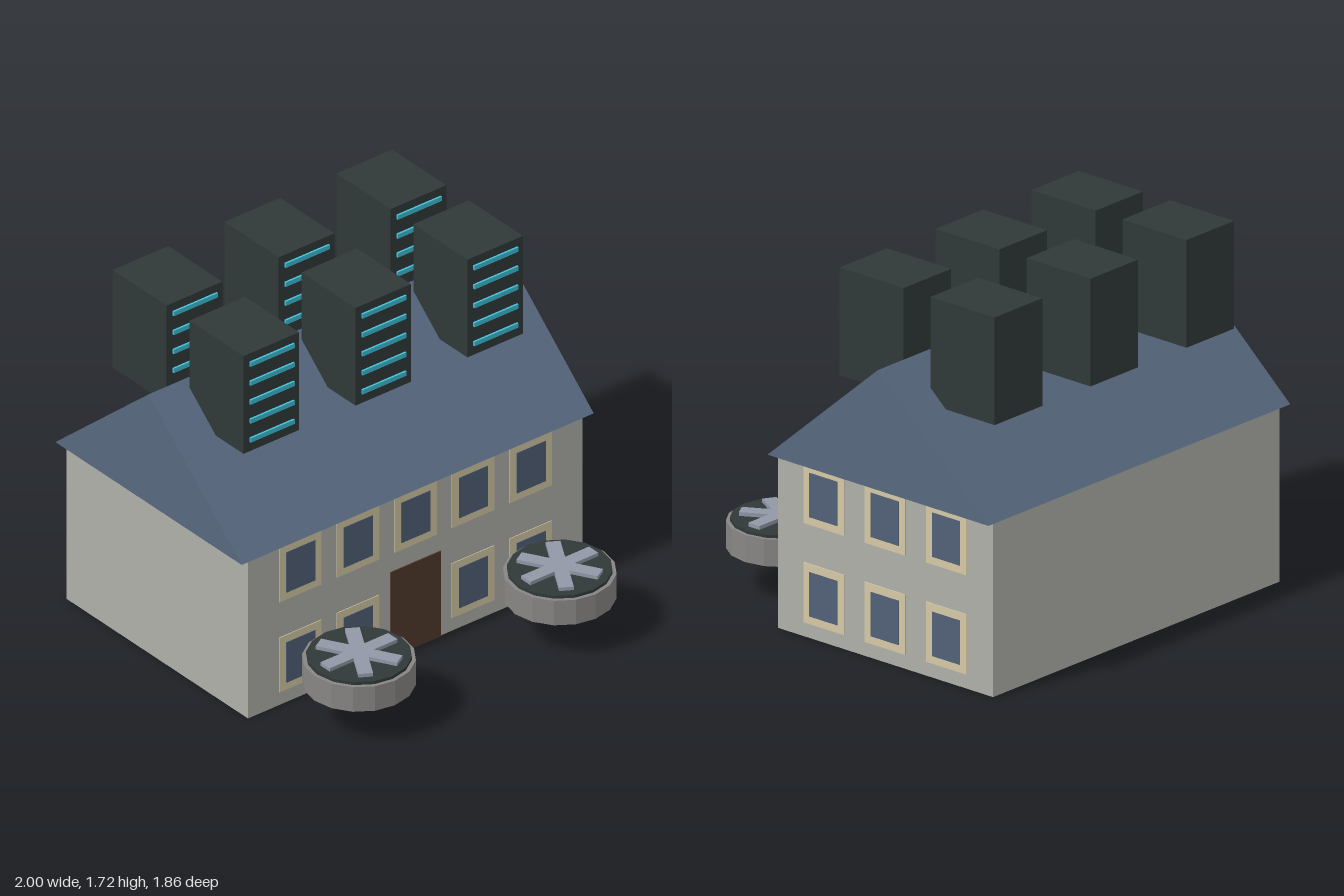
import * as THREE from 'three';

const mat = (name, color) => {
  const m = new THREE.MeshStandardMaterial({ color, flatShading: true });
  m.name = name;
  return m;
};

export function createModel() {
  const wall = mat('wall grey', 0xb0b0aa);
  const slate = mat('slate blue', 0x586880);
  const cream = mat('frame cream', 0xd6caa6);
  const glass = mat('window blue', 0x526078);
  const wood = mat('door brown', 0x523a2c);
  const dark = mat('cabinet dark', 0x303838);
  const cyan = mat('light cyan', 0x40c0d8);
  const metal = mat('fan housing grey', 0x888684);
  const blade = mat('fan blade grey', 0x9298a8);

  const model = new THREE.Group();
  const add = (parent, name, geometry, material, x, y, z) => {
    const mesh = new THREE.Mesh(geometry, material);
    mesh.name = name;
    mesh.position.set(x, y, z);
    parent.add(mesh);
    return mesh;
  };
  const box = (w, h, d) => new THREE.BoxGeometry(w, h, d);

  // House body
  const midZ = -0.273, frontZ = 0.364, sideX = 0.95;
  add(model, 'walls', box(1.9, 0.83, 1.275), wall, 0, 0.415, midZ);

  // Gable roof, extruded along x
  const gable = new THREE.Shape([
    new THREE.Vector2(-0.655, 0.83), new THREE.Vector2(0.655, 0.83), new THREE.Vector2(0, 1.4),
  ]);
  const roofGeo = new THREE.ExtrudeGeometry(gable, { depth: 2, bevelEnabled: false });
  roofGeo.translate(0, 0, -1).rotateY(Math.PI / 2);
  add(model, 'roof', roofGeo, slate, 0, 0, midZ);

  // Windows: thin frame plate with glass in front
  const addWindow = (x, y, z, turn) => {
    const win = new THREE.Group();
    win.name = 'window';
    add(win, 'windowFrame', box(0.24, 0.285, 0.008), cream, 0, 0, 0);
    add(win, 'windowGlass', box(0.165, 0.21, 0.008), glass, 0, 0, 0.003);
    win.position.set(x, y, z);
    win.rotation.y = turn;
    model.add(win);
  };
  for (const y of [0.21, 0.68]) {
    for (let i = -2; i <= 2; i++) {
      if (i !== 0 || y > 0.5) addWindow(i * 0.327, y, frontZ, 0);
    }
    for (let i = -1; i <= 1; i++) addWindow(sideX, y, midZ + i * 0.364, Math.PI / 2);
  }

  // Front door
  add(model, 'door', box(0.285, 0.445, 0.009), wood, 0, 0.2225, frontZ + 0.002);

  // Two rows of cabinets with light strips on their fronts
  for (const z of [-0.05, -0.59]) {
    for (const x of [-0.636, 0, 0.636]) {
      const cabinet = new THREE.Group();
      cabinet.name = 'cabinet';
      add(cabinet, 'cabinetBody', box(0.316, 0.51, 0.38), dark, 0, 0, 0);
      for (let i = -2; i <= 2; i++) {
        add(cabinet, 'lightStrip', box(0.25, 0.023, 0.02), cyan, 0, i * 0.099 + 0.004, 0.19);
      }
      cabinet.position.set(x, 1.465, z);
      model.add(cabinet);
    }
  }

  // Fan units in front of the house
  for (const x of [-0.57, 0.57]) {
    const fan = new THREE.Group();
    fan.name = 'fan';
    add(fan, 'fanHousing', new THREE.CylinderGeometry(0.253, 0.253, 0.128, 16), metal, 0, 0.259, 0);
    add(fan, 'fanDisc', new THREE.CylinderGeometry(0.235, 0.235, 0.03, 16), dark, 0, 0.323, 0);
    for (let i = 0; i < 3; i++) {
      add(fan, 'fanBlade', box(0.385, 0.02, 0.066), blade, 0, 0.346, 0).rotation.y = i * Math.PI / 3;
    }
    fan.position.set(x, 0, 0.675);
    model.add(fan);
  }

  return model;
}
